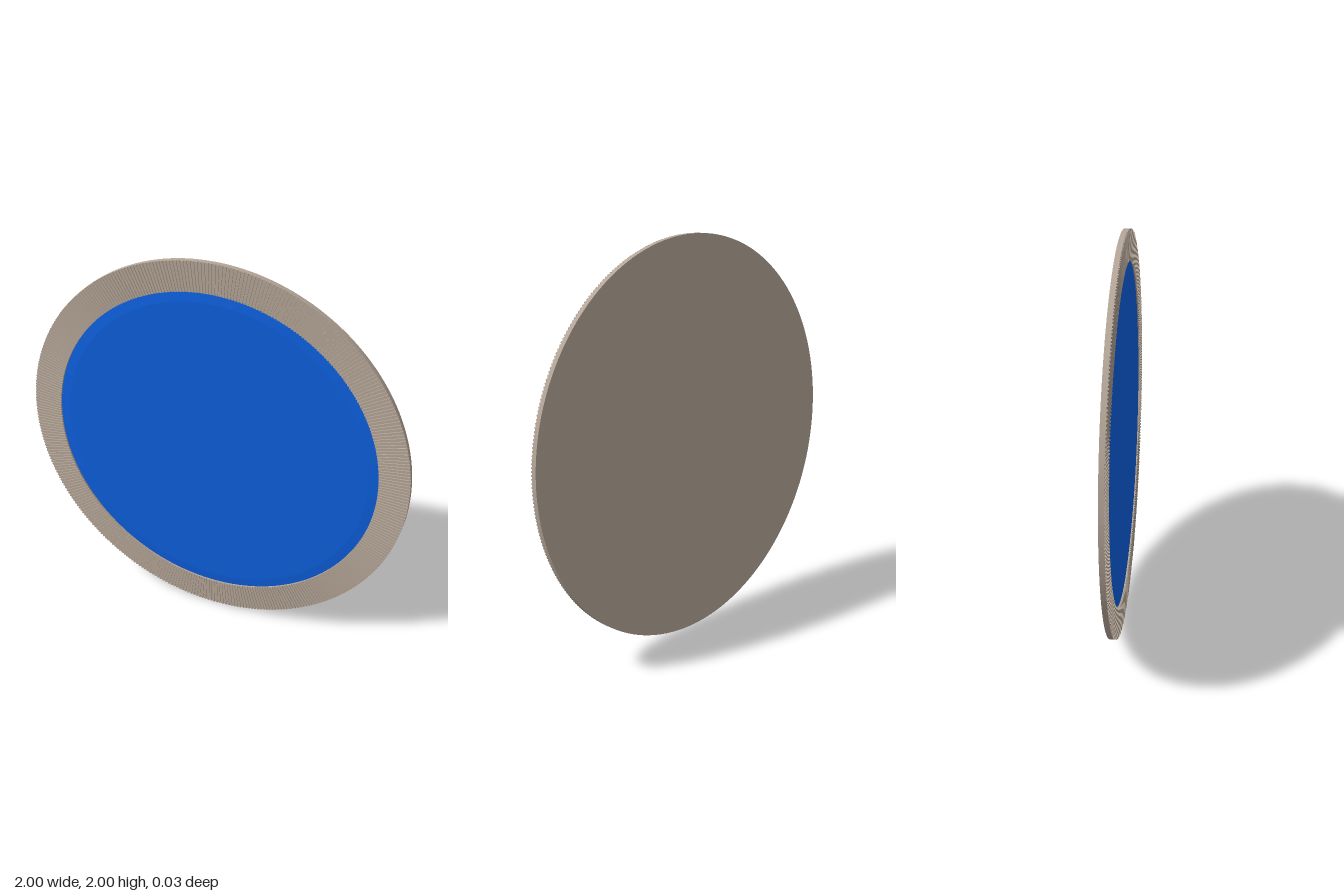
import * as THREE from 'three';
import { mergeGeometries } from 'three/addons/utils/BufferGeometryUtils.js';

const SEGMENTS = 180;
const RIDGES = 360;
const OUTER = 1, INNER = 0.85;

// Round part turned about the z axis from [radius, z] pairs, back to front
function turned(name, profile, material) {
  const points = profile.map(([r, z]) => new THREE.Vector2(r, z));
  const geometry = new THREE.LatheGeometry(points, SEGMENTS);
  geometry.rotateX(Math.PI / 2);
  const mesh = new THREE.Mesh(geometry, material);
  mesh.name = name;
  return mesh;
}

export function createModel() {
  const group = new THREE.Group();
  group.name = 'ridgedDisc';
  const stone = new THREE.MeshStandardMaterial({ color: 0xb5a698, flatShading: true });
  const blue = new THREE.MeshStandardMaterial({ color: 0x0d5fdd, flatShading: true });

  // Body: flat back, outer edge, front rim and the wall of the recess
  group.add(turned('body', [
    [0, -0.015], [OUTER, -0.015], [OUTER, 0.01], [INNER, 0.01], [INNER, 0],
  ], stone));

  // Face: recessed disc with a shallow bevel around its edge
  group.add(turned('face', [[INNER, 0.004], [0.8, 0.009], [0, 0.009]], blue));

  // Ridges: thin radial bars all around the front rim
  const bars = [];
  for (let i = 0; i < RIDGES; i++) {
    const bar = new THREE.BoxGeometry(OUTER - INNER, 0.008, 0.006);
    bar.translate((OUTER + INNER) / 2, 0, 0.012);
    bar.rotateZ((i / RIDGES) * Math.PI * 2);
    bars.push(bar);
  }
  const ridges = new THREE.Mesh(mergeGeometries(bars), stone);
  ridges.name = 'rimRidges';
  group.add(ridges);

  group.position.y = 1;
  const model = new THREE.Group();
  model.name = 'disc';
  model.add(group);
  return model;
}
